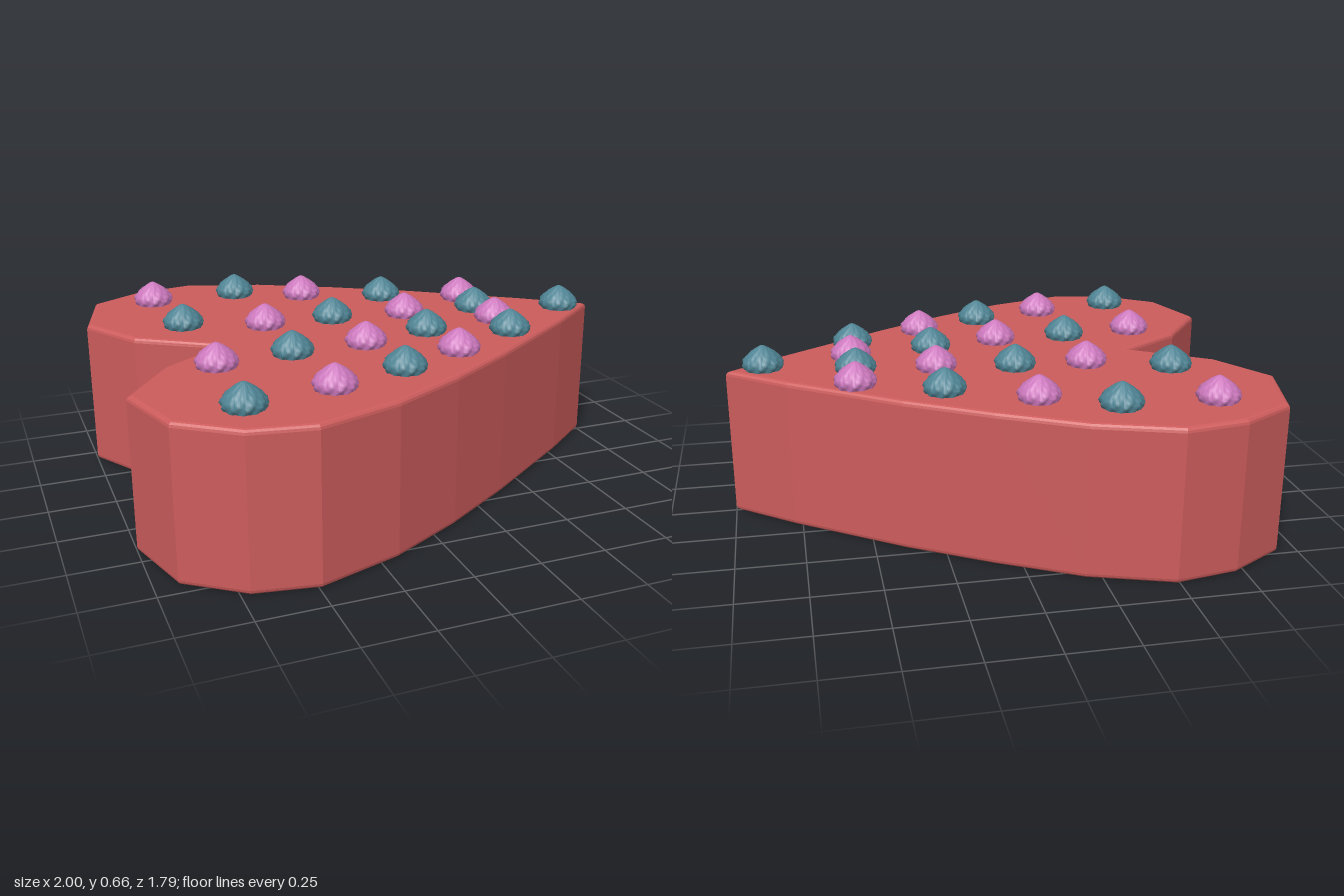
import * as THREE from 'three';
import { mergeVertices } from 'three/addons/utils/BufferGeometryUtils.js';

const HEIGHT = 0.57;
const BEVEL = 0.018;

// Heart outline seen from above as [x, z], point towards +x
const OUTLINE = [
  [1, 0], [0.78, 0.175], [0.38, 0.46], [0.1, 0.64], [-0.18, 0.79], [-0.49, 0.89],
  [-0.72, 0.85], [-0.92, 0.7], [-1, 0.42], [-0.82, 0.17], [-0.57, 0], [-0.86, -0.19],
  [-1, -0.43], [-0.92, -0.74], [-0.72, -0.86], [-0.49, -0.9], [-0.19, -0.8],
  [0.1, -0.64], [0.39, -0.46], [0.78, -0.18],
];

// Dollop positions [x, z] in columns from the lobes to the point
const COLUMNS = [
  [[-0.69, -0.655], [-0.65, -0.275], [-0.65, 0.245], [-0.67, 0.67]],
  [[-0.34, -0.655], [-0.35, -0.165], [-0.36, 0.21], [-0.34, 0.605]],
  [[-0.08, -0.53], [-0.075, -0.155], [-0.07, 0.2], [-0.05, 0.52]],
  [[0.23, -0.39], [0.22, -0.115], [0.205, 0.135], [0.215, 0.4]],
  [[0.535, -0.26], [0.52, -0.09], [0.525, 0.08], [0.505, 0.25]],
  [[0.86, 0.01]],
];

// Flat-sided heart slab with softly rounded rims
function heartGeometry() {
  const shape = new THREE.Shape(OUTLINE.map(([x, z]) => new THREE.Vector2(x, z)));
  const geometry = new THREE.ExtrudeGeometry(shape, {
    depth: HEIGHT - 2 * BEVEL,
    bevelThickness: BEVEL,
    bevelSize: BEVEL,
    bevelOffset: -BEVEL,
    bevelSegments: 3,
  });
  geometry.rotateX(Math.PI / 2);
  return geometry.translate(0, HEIGHT - BEVEL, 0);
}

// Piped dollop: a lathed drop whose ridges twist on the way up
function dollopGeometry() {
  const profile = [
    [0.066, -0.005], [0.074, 0.01], [0.077, 0.022], [0.073, 0.036], [0.06, 0.052],
    [0.043, 0.067], [0.026, 0.079], [0.012, 0.088], [0, 0.093],
  ].map(([r, y]) => new THREE.Vector2(r, y));
  const lathe = new THREE.LatheGeometry(profile, 80);
  const pos = lathe.attributes.position;
  for (let i = 0; i < pos.count; i++) {
    const x = pos.getX(i), y = pos.getY(i), z = pos.getZ(i);
    const ridge = Math.abs(Math.cos(5 * (Math.atan2(z, x) + y * 13)));
    const scale = 0.85 + 0.2 * ridge;
    pos.setXYZ(i, x * scale, y, z * scale);
  }
  lathe.deleteAttribute('uv');
  lathe.deleteAttribute('normal');
  const geometry = mergeVertices(lathe, 1e-5);
  geometry.computeVertexNormals();
  return geometry;
}

export function createModel() {
  const model = new THREE.Group();
  model.name = 'heartCake';

  const cake = new THREE.Mesh(heartGeometry(), new THREE.MeshStandardMaterial({ color: 0xcd5c5c }));
  cake.name = 'cakeBody';
  model.add(cake);

  // Dollops alternate in colour like a chequerboard
  const dollop = dollopGeometry();
  const pink = new THREE.MeshStandardMaterial({ color: 0xcc78bd });
  const teal = new THREE.MeshStandardMaterial({ color: 0x4f8494 });
  const dollops = new THREE.Group();
  dollops.name = 'icingDollops';
  COLUMNS.forEach((column, c) => column.forEach(([x, z], r) => {
    const isPink = (c + r) % 2 === 0;
    const mesh = new THREE.Mesh(dollop, isPink ? pink : teal);
    mesh.name = isPink ? 'pinkDollop' : 'tealDollop';
    mesh.position.set(x, HEIGHT, z);
    dollops.add(mesh);
  }));
  dollops.position.z = -0.01;
  dollops.position.z = 0;
  model.add(dollops);
  return model;
}
